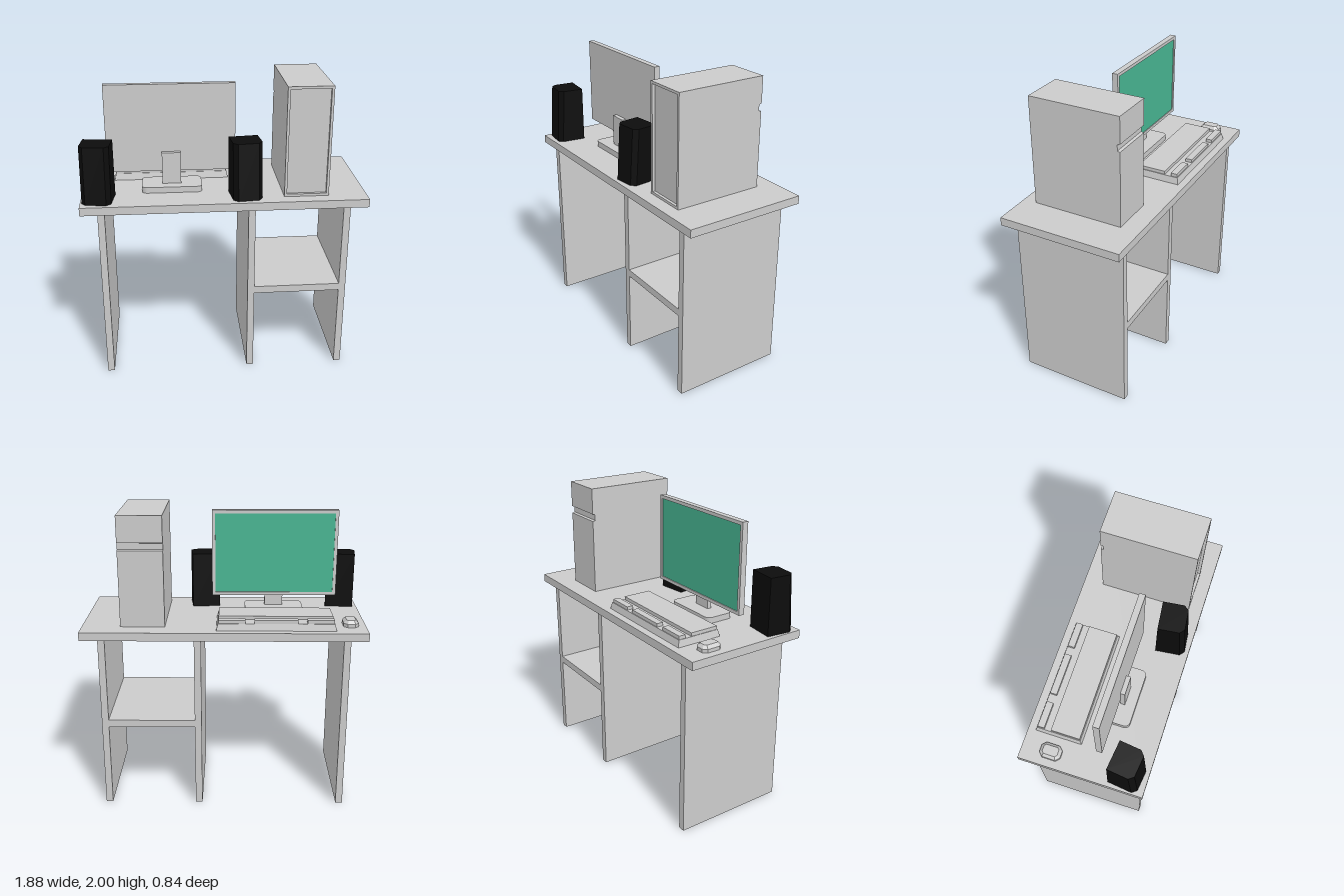
import * as THREE from 'three';

const grey = new THREE.MeshStandardMaterial({ color: 0xcccccc, flatShading: true });
const black = new THREE.MeshStandardMaterial({ color: 0x0c0c0c, flatShading: true });
const teal = new THREE.MeshStandardMaterial({ color: 0x48b592, flatShading: true });

function add(parent, name, geometry, material = grey) {
  const mesh = new THREE.Mesh(geometry, material);
  mesh.name = name;
  parent.add(mesh);
  return mesh;
}

// Box given by its extents on each axis
function block(parent, name, [x0, x1], [y0, y1], [z0, z1], material) {
  const geometry = new THREE.BoxGeometry(x1 - x0, y1 - y0, z1 - z0);
  geometry.translate((x0 + x1) / 2, (y0 + y1) / 2, (z0 + z1) / 2);
  return add(parent, name, geometry, material);
}

// Flat rectangular ring in the xy plane, extruded from z0 to z1
function frame(parent, name, [x0, x1], [y0, y1], [z0, z1], border) {
  const rect = (a, b, c, d) => [[a, c], [b, c], [b, d], [a, d]].map(p => new THREE.Vector2(...p));
  const shape = new THREE.Shape(rect(x0, x1, y0, y1));
  shape.holes.push(new THREE.Path(rect(x0 + border, x1 - border, y0 + border, y1 - border)));
  const geometry = new THREE.ExtrudeGeometry(shape, { depth: z1 - z0, bevelEnabled: false });
  return add(parent, name, geometry.translate(0, 0, z0));
}

// Closed solid through horizontal rings {y, points: [x, z]} listed from bottom to top;
// points run from -x to +x along the back, then forward
function loft(rings) {
  const n = rings[0].points.length;
  const positions = rings.flatMap(r => r.points.flatMap(([x, z]) => [x, r.y, z]));
  const index = [];
  for (let r = 0; r < rings.length - 1; r++) {
    for (let i = 0; i < n; i++) {
      const a = r * n + i, b = r * n + (i + 1) % n;
      index.push(a, a + n, b, b, a + n, b + n);
    }
  }
  const top = (rings.length - 1) * n;
  for (let i = 1; i < n - 1; i++) {
    index.push(0, i, i + 1, top, top + i + 1, top + i);
  }
  const geometry = new THREE.BufferGeometry();
  geometry.setAttribute('position', new THREE.Float32BufferAttribute(positions, 3));
  geometry.setIndex(index);
  const flat = geometry.toNonIndexed();
  flat.computeVertexNormals();
  return flat;
}

// Rectangle with cut corners, as a loft ring
function cutRect(w, d, c) {
  const x = w / 2, z = d / 2;
  return [[-x, c - z], [c - x, -z], [x - c, -z], [x, c - z], [x, z - c], [x - c, z], [c - x, z], [-x, z - c]];
}

function createDesk() {
  const desk = new THREE.Group();
  desk.name = 'desk';
  block(desk, 'deskTop', [-0.94, 0.94], [1.21, 1.265], [-0.42, 0.42]);
  for (const x of [-0.83, 0.15, 0.78]) {
    block(desk, 'sidePanel', [x, x + 0.046], [0, 1.21], [-0.385, 0.385]);
  }
  block(desk, 'shelf', [0.196, 0.78], [0.58, 0.63], [-0.385, 0.385]);
  return desk;
}

function createTower() {
  const tower = new THREE.Group();
  tower.name = 'computerTower';
  // Side profile with a groove across the -z face
  const profile = [[0.31, 1.265], [0.31, 2], [-0.29, 2], [-0.29, 1.825], [-0.272, 1.82],
    [-0.272, 1.78], [-0.29, 1.775], [-0.29, 1.265]];
  const shape = new THREE.Shape(profile.map(([z, y]) => new THREE.Vector2(-z, y)));
  const body = new THREE.ExtrudeGeometry(shape, { depth: 0.295, bevelEnabled: false });
  add(tower, 'towerBody', body.rotateY(Math.PI / 2).translate(0.39, 0, 0));
  frame(tower, 'towerRim', [0.39, 0.685], [1.265, 2], [0.31, 0.33], 0.017);
  return tower;
}

function createMonitor() {
  const monitor = new THREE.Group();
  monitor.name = 'monitor';
  const x = [-0.77, 0.085], y = [1.385, 1.975];
  block(monitor, 'monitorBack', x, y, [0.07, 0.1]);
  frame(monitor, 'bezel', x, y, [0.06, 0.07], 0.022);
  block(monitor, 'screen', [-0.748, 0.063], [1.407, 1.953], [0.066, 0.07], teal);
  block(monitor, 'neck', [-0.405, -0.28], [1.3, 1.52], [0.1, 0.13]);

  // Foot with rounded corners
  const w = 0.2, d = 0.1, r = 0.035;
  const foot = new THREE.Shape();
  foot.absarc(w - r, d - r, r, 0, Math.PI / 2);
  foot.absarc(r - w, d - r, r, Math.PI / 2, Math.PI);
  foot.absarc(r - w, r - d, r, Math.PI, Math.PI * 1.5);
  foot.absarc(w - r, r - d, r, Math.PI * 1.5, Math.PI * 2);
  const geometry = new THREE.ExtrudeGeometry(foot, { depth: 0.04, bevelEnabled: false, curveSegments: 4 });
  add(monitor, 'foot', geometry.rotateX(-Math.PI / 2).translate(-0.342, 1.265, 0.1));
  return monitor;
}

function createKeyboard() {
  const keyboard = new THREE.Group();
  keyboard.name = 'keyboard';
  const rect = (w, d) => [[-w, -d], [w, -d], [w, d], [-w, d]];
  const base = loft([{ y: 1.265, points: rect(0.392, 0.157) }, { y: 1.31, points: rect(0.382, 0.147) }]);
  add(keyboard, 'keyboardBase', base.translate(-0.342, 0, -0.213));
  block(keyboard, 'mainKeys', [-0.72, 0.035], [1.31, 1.333], [-0.265, -0.07]);
  for (const x of [[-0.72, -0.545], [-0.485, -0.2], [-0.14, 0.035]]) {
    block(keyboard, 'functionKeys', x, [1.31, 1.333], [-0.355, -0.31]);
  }
  return keyboard;
}

// Speaker with cut +z corners and a leaning +z face
function createSpeaker(side) {
  const ring = (y, front) => ({
    y,
    points: [[-0.096, -0.095], [0.096, -0.095], [0.096, front - 0.03], [0.068, front], [-0.068, front], [-0.096, front - 0.03]],
  });
  const speaker = add(new THREE.Group(), side < 0 ? 'rightSpeaker' : 'leftSpeaker',
    loft([ring(1.265, 0.1), ring(1.645, 0.075)]), black);
  speaker.position.set(-0.343 + side * 0.482, 0, 0.285);
  speaker.rotation.y = side * 0.115;
  return speaker;
}

export function createModel() {
  const model = new THREE.Group();
  model.name = 'computerDesk';
  model.add(createDesk(), createTower(), createMonitor(), createKeyboard());
  model.add(createSpeaker(-1), createSpeaker(1));

  // Faceted mouse
  const mouse = loft([
    { y: 1.265, points: cutRect(0.1, 0.14, 0.025) },
    { y: 1.288, points: cutRect(0.1, 0.14, 0.025) },
    { y: 1.308, points: cutRect(0.062, 0.1, 0.012) },
  ]);
  add(model, 'mouse', mouse.translate(-0.84, 0, -0.225));
  return model;
}
